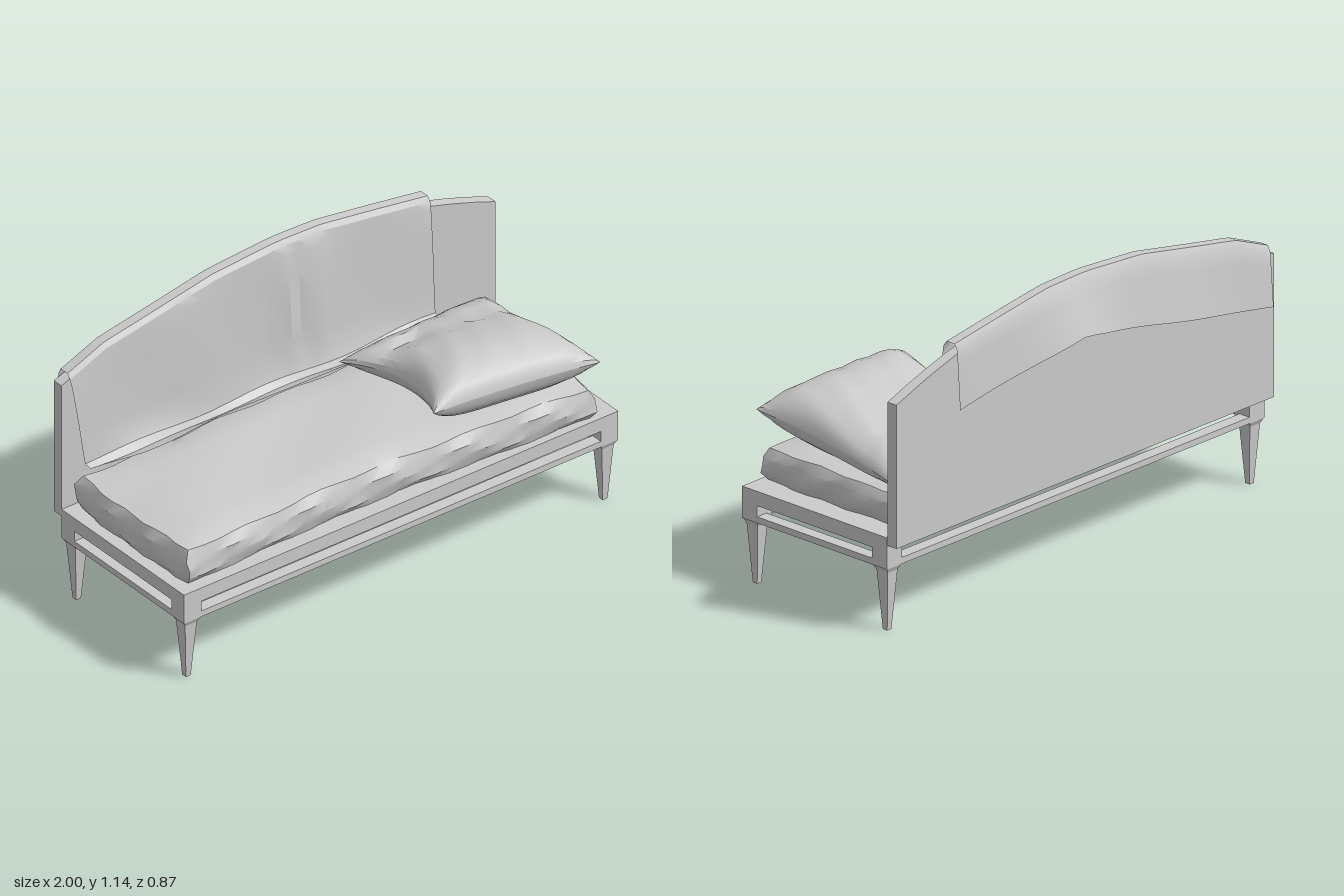
import * as THREE from 'three';
import { mergeVertices, toCreasedNormals } from 'three/addons/utils/BufferGeometryUtils.js';
import { ParametricGeometry } from 'three/addons/geometries/ParametricGeometry.js';

const grey = new THREE.MeshStandardMaterial({ color: 0xcccccc });
const cloth = new THREE.MeshStandardMaterial({ color: 0xcccccc, side: THREE.DoubleSide });
const lerp = THREE.MathUtils.lerp;
const bump = (x, c, w) => Math.exp(-(((x - c) / w) ** 2));

// piecewise linear lookup in a list of [x, y]
function along(points, x) {
  for (let i = 1; i < points.length; i++) {
    const [x0, y0] = points[i - 1], [x1, y1] = points[i];
    if (x <= x1) return lerp(y0, y1, (x - x0) / (x1 - x0));
  }
  return points[points.length - 1][1];
}

function add(parent, name, geometry, material = grey) {
  const mesh = new THREE.Mesh(geometry, material);
  mesh.name = name;
  parent.add(mesh);
  return mesh;
}

// box given by its limits on each axis
function box(parent, name, [x0, x1], [y0, y1], [z0, z1]) {
  const g = new THREE.BoxGeometry(x1 - x0, y1 - y0, z1 - z0);
  g.translate((x0 + x1) / 2, (y0 + y1) / 2, (z0 + z1) / 2);
  return add(parent, name, g);
}

// weld and shade softly with creases
function soften(geometry, angle = 0.6) {
  geometry.deleteAttribute('uv');
  geometry.deleteAttribute('normal');
  return toCreasedNormals(mergeVertices(geometry, 1e-4), angle);
}

// box whose vertices are moved by rule(a, b, c), each in -1..1
function softBox(segments, rule) {
  const g = new THREE.BoxGeometry(2, 2, 2, ...segments);
  const p = g.attributes.position;
  for (let i = 0; i < p.count; i++) p.setXYZ(i, ...rule(p.getX(i), p.getY(i), p.getZ(i)));
  return soften(g);
}

function sheet(nu, nv, rule) {
  return soften(new ParametricGeometry((u, v, t) => t.set(...rule(u, v)), nu, nv), 0.5);
}

function createFrame() {
  const frame = new THREE.Group();
  frame.name = 'frame';
  const back = -0.32, front = 0.405, w = 0.05;
  box(frame, 'platform', [-1, 1], [0.323, 0.38], [back, front]);
  for (const z of [back, front - w]) box(frame, 'longRail', [-0.92, 0.92], [0.255, 0.28], [z, z + w]);
  for (const x of [-1, 1 - w]) box(frame, 'sideRail', [x, x + w], [0.255, 0.28], [back + 0.075, front - 0.075]);
  for (const sx of [-1, 1]) {
    for (const z of [back + 0.0375, front - 0.0375]) {
      const x = sx * 0.96;
      box(frame, 'cornerPost', [x - 0.04, x + 0.04], [0.255, 0.323], [z - 0.0375, z + 0.0375]);
      // square tapered leg with a small flare at the top
      const k = Math.SQRT2;
      const profile = [[0, 0], [0.011, 0], [0.027, 0.235], [0.037, 0.255], [0, 0.255]]
        .map(([r, y]) => new THREE.Vector2(r * k, y));
      const g = new THREE.LatheGeometry(profile, 4);
      g.rotateY(Math.PI / 4);
      add(frame, 'leg', toCreasedNormals(g, 0.1)).position.set(x, 0, z);
    }
  }
  return frame;
}

// upright board with an arched top
function createHeadboard() {
  const s = new THREE.Shape();
  s.moveTo(-1, 0.35);
  s.lineTo(1, 0.35);
  for (let i = 0; i <= 20; i++) {
    const x = 1 - i / 10;
    s.lineTo(x, 0.915 + 0.195 * (1 - x * x));
  }
  const g = new THREE.ExtrudeGeometry(s, { depth: 0.045, bevelEnabled: false });
  g.translate(0, 0, -0.367);
  return toCreasedNormals(g, 0.4);
}

function createMattress() {
  return softBox([26, 4, 10], (a, b, c) => {
    const inset = 0.022 * Math.abs(b) ** 3;
    const front = along([[-1, 0.375], [-0.4, 0.355], [0.1, 0.355], [0.6, 0.385], [1, 0.395]], a);
    const corner = 0.012 * a ** 4 * c ** 4;
    const x = -0.025 + a * (0.945 - inset - corner) + 0.006 * Math.sin(9 * c + 3 * b) * a ** 8;
    const z = lerp(-0.295 + inset, front - inset, (c + 1) / 2) + 0.007 * Math.sin(17 * a + 4 * b) * c ** 4;
    const edge = Math.max(a ** 10, c ** 8);
    const top = 0.538 - 0.018 * edge + 0.004 * Math.sin(7 * a + 3 * c) - 0.015 * bump(a, 1, 0.25);
    return [x, lerp(0.375, top, (b + 1) / 2), z];
  });
}

// underside of the mattress sagging below the platform
function createUnderside() {
  return softBox([12, 1, 6], (a, b, c) => {
    const sag = 0.02 * bump(a, 0.25, 0.55) * (1 - 0.3 * c * c);
    return [a * 0.92, b > 0 ? 0.33 : 0.315 - sag, 0.045 + c * 0.3];
  });
}

// cloth laid over the headboard, its front hem resting on the mattress
function createThrow() {
  const crest = [[-0.97, 0.955], [-0.8, 1.025], [-0.6, 1.062], [-0.3, 1.12], [0, 1.142],
    [0.2, 1.136], [0.45, 1.1], [0.69, 1.063]];
  const backHem = [[-0.97, 0.72], [-0.45, 0.82], [0.07, 0.93], [0.35, 0.87], [0.69, 0.81]];
  const rows = 16;
  return sheet(30, rows, (u, v) => {
    const x = lerp(-0.97, 0.69, u);
    const T = along(crest, x), B = along(backHem, x);
    const flare = 0.015 + 0.05 * bump(x, 0.07, 0.25) + 0.02 * bump(x, -0.5, 0.25);
    const section = [[-0.2, 0.585], [-0.245, 0.562], [-0.275, 0.575], [-0.286, 0.62]];
    for (let i = 1; i <= 5; i++) section.push([lerp(-0.286, -0.306, i / 5), lerp(0.62, T - 0.06, i / 5)]);
    section.push([-0.31, T - 0.02], [-0.325, T], [-0.365, T], [-0.378, T - 0.025]);
    for (let i = 1; i <= 4; i++) section.push([-0.378 - flare * i / 4, lerp(T - 0.025, B, i / 4)]);
    const row = Math.round(v * rows);
    let [z, y] = section[row];
    // gathered folds on the front and a wavy hem
    if (row > 2 && row < 9) {
      const fade = Math.sin(((row - 2) / 7) * Math.PI);
      z += fade * (0.016 * bump(x, 0.04, 0.04) - 0.012 * bump(x, 0.09, 0.03)
        + 0.014 * bump(x, 0.15, 0.04) + 0.005 * Math.sin(11 * x));
    }
    if (row < 3) {
      z += 0.015 * Math.sin(8 * x) * (1 - row / 3);
      y += 0.008 * Math.sin(10 * x + row);
    }
    const narrow = row < 9 ? 0.06 * (1 - row / 9) * (1 - u) ** 4 : 0;
    return [x + narrow, y, z];
  });
}

// plump pillow with four pulled corners; side is 1 for the top, -1 for the bottom
function createPillowHalf(side) {
  return sheet(16, 16, (s, t) => {
    // crowd the grid towards the edges so the rim stays round
    const u = -Math.cos(s * Math.PI), v = -Math.cos(t * Math.PI);
    const U = (u + 1) / 2, V = (v + 1) / 2;
    const left = lerp(0.21, 0.18, V) + 0.085 * (1 - v * v);
    const right = lerp(0.925, 0.9, V) - 0.03 * (1 - v * v);
    const back = lerp(-0.235, -0.29, U) + 0.015 * (1 - u * u);
    const front = lerp(0.365, 0.43, U) - 0.015 * (1 - u * u);
    const x = lerp(left, right, U), z = lerp(back, front, V);
    const rim = lerp(0.565, 0.66, V) - 0.015 * u;
    const puff = ((1 - u ** 4) * (1 - v ** 4)) ** 0.55;
    let y = rim + side * puff * (0.105 + 0.02 * v);
    if (side > 0) {
      // creases and a dent in the top
      y += puff * (0.012 * bump(v, 0.3, 0.35) - 0.03 * bump(x, 0.4, 0.08) * bump(z, -0.08, 0.05)
        - 0.018 * bump(z, -0.09 + 0.12 * (x - 0.5), 0.04) + 0.005 * Math.sin(14 * u + 5 * v));
    }
    return [x, Math.max(y, 0.53), z];
  });
}

export function createModel() {
  const model = new THREE.Group();
  model.name = 'daybed';
  model.add(createFrame());
  add(model, 'headboard', createHeadboard());
  add(model, 'mattress', createMattress());
  add(model, 'mattressUnderside', createUnderside());
  add(model, 'throwBlanket', createThrow(), cloth);
  const pillow = new THREE.Group();
  pillow.name = 'pillow';
  add(pillow, 'pillowTop', createPillowHalf(1), cloth);
  add(pillow, 'pillowBottom', createPillowHalf(-1), cloth);
  model.add(pillow);
  return model;
}
